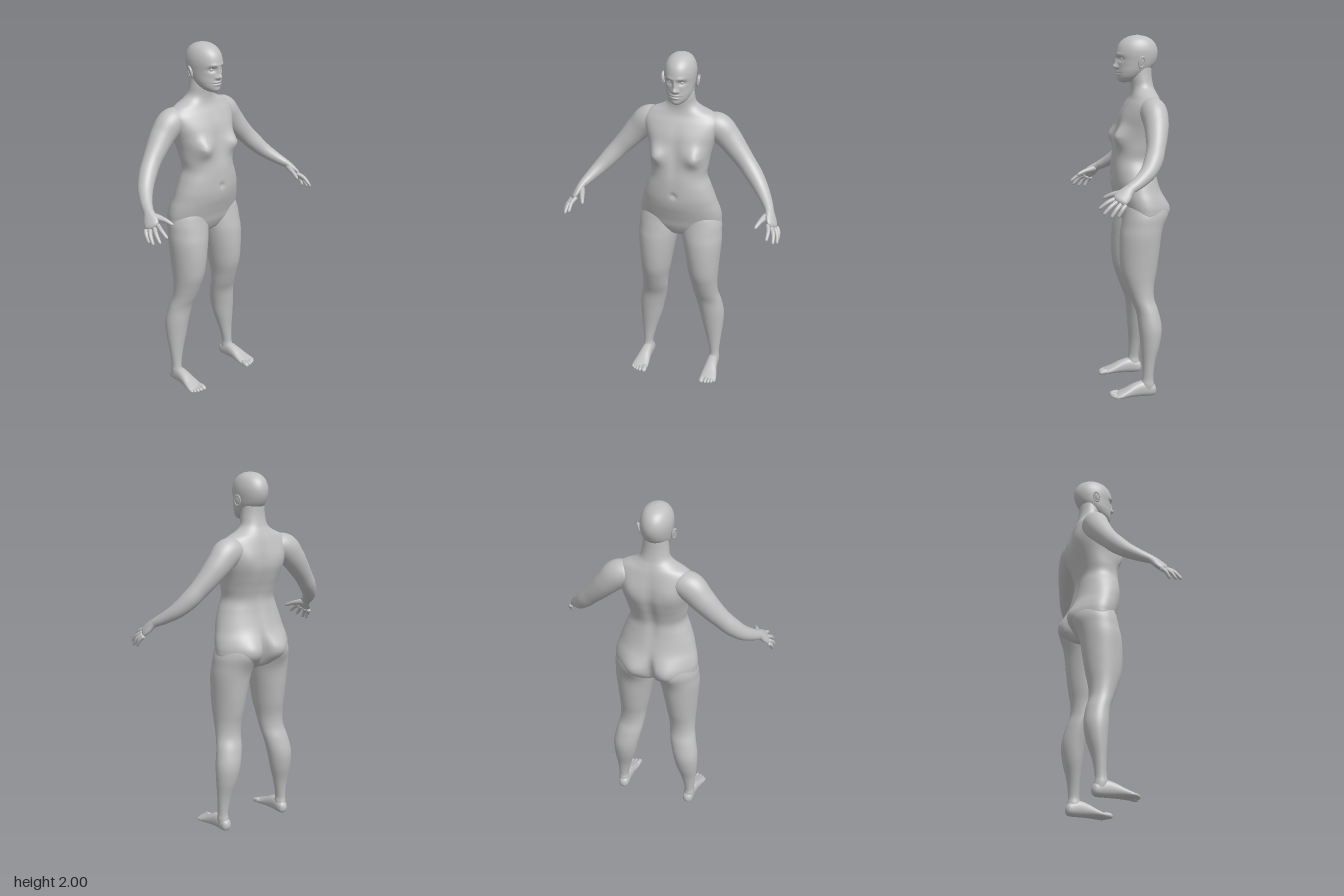
import * as THREE from 'three';

const V = (x, y, z) => new THREE.Vector3(x, y, z);
const UP = V(0, 1, 0), FRONT = V(0, 0, 1);
const bell = (d, s) => Math.exp(-((d / s) ** 2));
const clamp01 = (k) => Math.min(1, Math.max(0, k));

// Smooth closed skin over rings [x, y, z, halfWidth, halfDepth, roundness = 2].
// axis fixes the ring plane; without it rings follow the path. ref is the depth direction.
function loft(rings, { ref = FRONT, axis = null, n = 40, seg = 32, round = 0, deform = null }) {
  const path = new THREE.CatmullRomCurve3(rings.map((r) => V(r[0], r[1], r[2])), false, 'catmullrom', 0.5);
  const size = new THREE.CatmullRomCurve3(rings.map((r) => V(r[3], r[4], r[5] ?? 2)), false, 'catmullrom', 0.5);
  const pos = [], idx = [];
  const push = (p) => { if (deform) deform(p); pos.push(p.x, p.y, p.z); };
  const soft = (c, p) => Math.sign(c) * Math.abs(c) ** (2 / p);
  for (let i = 0; i <= n; i++) {
    const s = round ? (1 - Math.cos((Math.PI * i) / n)) / 2 : i / n;
    const c = path.getPoint(s), w = size.getPoint(s);
    const t = axis ?? path.getTangent(s);
    const u = ref.clone().cross(t).normalize(), v = t.clone().cross(u);
    const e = Math.min(s, 1 - s);
    const k = e < round ? Math.sqrt(1 - (1 - e / round) ** 2) : 1;
    for (let j = 0; j < seg; j++) {
      const a = (j / seg) * Math.PI * 2;
      push(c.clone()
        .addScaledVector(u, Math.max(w.x, 0.001) * k * soft(Math.cos(a), w.z))
        .addScaledVector(v, Math.max(w.y, 0.001) * k * soft(Math.sin(a), w.z)));
    }
  }
  for (let i = 0; i < n; i++) for (let j = 0; j < seg; j++) {
    const a = i * seg + j, b = i * seg + ((j + 1) % seg);
    idx.push(a, b, a + seg, b, b + seg, a + seg);
  }
  const end = (n + 1) * seg;
  push(path.getPoint(0)); push(path.getPoint(1));
  for (let j = 0; j < seg; j++) {
    const k = (j + 1) % seg;
    idx.push(end, k, j, end + 1, n * seg + j, n * seg + k);
  }
  const g = new THREE.BufferGeometry();
  g.setAttribute('position', new THREE.Float32BufferAttribute(pos, 3));
  g.setIndex(idx);
  g.computeVertexNormals();
  return g;
}

// [y, halfWidth, front z, back z, roundness] to a centred ring
const centred = ([y, w, f, b, p]) => [0, y, (f + b) / 2, w, (f - b) / 2, p];

// Soft body forms, shared by torso and thighs so they meet
function bodyForm(p) {
  const x = Math.abs(p.x), y = p.y;
  const f = clamp01((p.z + 0.03) / 0.06), b = clamp01((-0.07 - p.z) / 0.09);
  p.z += f * (0.045 * bell(x - 0.115, 0.055) * bell(y - 1.45, 0.055)   // chest
    + 0.006 * bell(x - 0.13, 0.012) * bell(y - 1.45, 0.012)
    - 0.012 * bell(x, 0.014) * bell(y - 1.225, 0.016)                  // navel
    - 0.008 * bell(x, 0.03) * bell(y - 1.45, 0.13));                   // breastbone
  p.z += b * (-0.042 * bell(x - 0.1, 0.08) * bell(y - 1.035, 0.08)     // seat
    + 0.035 * bell(x, 0.022) * bell(y - 1.02, 0.085)
    + 0.014 * bell(x, 0.03) * bell(y - 1.42, 0.2)                      // spine
    - 0.01 * bell(x - 0.11, 0.05) * bell(y - 1.55, 0.07));             // shoulder blades
}

// Facial forms
function faceForm(p) {
  const x = Math.abs(p.x), y = p.y, f = clamp01((p.z + 0.04) / 0.05);
  p.z += f * (0.022 * bell(x, 0.013) * bell(y - 1.829, 0.014)          // nose
    + 0.012 * bell(x, 0.01) * bell(y - 1.855, 0.024)
    + 0.008 * bell(x - 0.014, 0.008) * bell(y - 1.825, 0.008)
    - 0.013 * bell(x - 0.033, 0.02) * bell(y - 1.869, 0.014)           // eye sockets
    + 0.005 * bell(x - 0.03, 0.025) * bell(y - 1.893, 0.01)            // brow
    + 0.007 * bell(x, 0.024) * bell(y - 1.8, 0.006)                    // lips
    + 0.007 * bell(x, 0.02) * bell(y - 1.786, 0.006)
    - 0.004 * bell(x, 0.03) * bell(y - 1.793, 0.003)
    + 0.004 * bell(x, 0.02) * bell(y - 1.76, 0.012));                  // chin
}

export function createModel() {
  const model = new THREE.Group();
  model.name = 'figure';
  const skin = new THREE.MeshStandardMaterial({ color: 0xbfbfbf });
  skin.name = 'grey';
  const add = (parent, name, geo) => {
    const m = new THREE.Mesh(geo, skin);
    m.name = name;
    parent.add(m);
    return m;
  };

  // Torso and neck
  add(model, 'torso', loft([
    [0.925, 0.04, -0.04, -0.11], [0.95, 0.15, 0, -0.16], [1.0, 0.225, 0.028, -0.195],
    [1.05, 0.236, 0.042, -0.205], [1.1, 0.23, 0.058, -0.2], [1.15, 0.215, 0.073, -0.188],
    [1.2, 0.2, 0.08, -0.175, 2.1], [1.26, 0.178, 0.08, -0.162, 2.2], [1.32, 0.156, 0.077, -0.157, 2.2],
    [1.38, 0.162, 0.068, -0.172, 2.2], [1.44, 0.17, 0.058, -0.192, 2.3], [1.5, 0.184, 0.047, -0.207, 2.3],
    [1.56, 0.2, 0.032, -0.205, 2.3], [1.62, 0.212, 0.002, -0.193, 2.1], [1.66, 0.18, -0.022, -0.182],
    [1.69, 0.115, -0.03, -0.17], [1.72, 0.08, -0.03, -0.158], [1.77, 0.07, -0.025, -0.148],
    [1.83, 0.065, -0.03, -0.145],
  ].map(centred), { axis: UP, n: 130, seg: 96, deform: bodyForm }));

  // Head
  const head = new THREE.Group();
  head.name = 'head';
  model.add(head);
  add(head, 'skull', loft([
    [1.742, 0.014, 0.025, -0.015], [1.75, 0.033, 0.037, -0.05], [1.77, 0.055, 0.043, -0.085],
    [1.8, 0.07, 0.045, -0.125], [1.83, 0.077, 0.045, -0.155], [1.86, 0.081, 0.048, -0.172],
    [1.89, 0.084, 0.052, -0.18], [1.92, 0.083, 0.049, -0.179], [1.95, 0.075, 0.037, -0.168],
    [1.975, 0.06, 0.013, -0.146], [1.992, 0.036, -0.02, -0.112], [2.0, 0.004, -0.06, -0.07],
  ].map(centred), { axis: UP, n: 120, seg: 120, deform: faceForm }));

  for (const s of [1, -1]) {
    const side = s > 0 ? 'left' : 'right';
    const group = (name, parent = model) => {
      const g = new THREE.Group();
      g.name = side + name;
      parent.add(g);
      return g;
    };
    const mir = (rings) => rings.map(([x, ...r]) => [x * s, ...r]);

    // Eye and ear
    add(head, side + 'Eye', new THREE.SphereGeometry(0.012, 20, 14)).position.set(s * 0.032, 1.869, 0.021);
    const ear = group('Ear', head);
    ear.position.set(s * 0.09, 1.852, -0.072);
    ear.rotation.set(-0.15, s * 0.4, -s * 0.15);
    add(ear, 'earShell', new THREE.SphereGeometry(1, 20, 14)).scale.set(0.008, 0.031, 0.019);
    const rim = add(ear, 'earRim', new THREE.TorusGeometry(0.017, 0.004, 8, 28));
    rim.rotation.y = Math.PI / 2;
    rim.position.x = s * 0.005;
    rim.scale.set(1, 1.65, 1);

    // Arm, from inside the shoulder to the wrist
    const arm = group('Arm');
    add(arm, 'armSkin', loft(mir([
      [0.12, 1.6, -0.11, 0.06, 0.065], [0.195, 1.583, -0.118, 0.078, 0.073], [0.255, 1.525, -0.12, 0.07, 0.067],
      [0.312, 1.46, -0.11, 0.06, 0.058], [0.363, 1.403, -0.095, 0.052, 0.05], [0.41, 1.35, -0.073, 0.049, 0.049],
      [0.46, 1.295, -0.035, 0.041, 0.043], [0.505, 1.25, 0.022, 0.031, 0.034], [0.533, 1.222, 0.07, 0.023, 0.028],
      [0.545, 1.207, 0.09, 0.018, 0.024],
    ]), { n: 70, seg: 40, round: 0.04 }));

    // Hand
    const hand = group('Hand', arm);
    const palmUp = V(s * 0.76, 0.63, 0.1).normalize();
    add(hand, 'palm', loft(mir([
      [0.525, 1.232, 0.055, 0.026, 0.022], [0.54, 1.212, 0.085, 0.031, 0.021],
      [0.554, 1.187, 0.112, 0.041, 0.018], [0.57, 1.158, 0.142, 0.039, 0.013],
    ]), { ref: palmUp, n: 26, seg: 28, round: 0.15 }));
    const fingers = {
      index: [0.542, 1.176, 0.148, 0.555, 1.125, 0.24],
      middle: [0.56, 1.162, 0.145, 0.588, 1.1, 0.222],
      ring: [0.575, 1.152, 0.128, 0.604, 1.086, 0.186],
      little: [0.583, 1.147, 0.105, 0.601, 1.085, 0.15],
    };
    for (const [name, [x, y, z, X, Y, Z]] of Object.entries(fingers)) {
      const bow = 0.007;
      add(hand, name + 'Finger', loft(mir([
        [x, y, z, 0.0125, 0.0125],
        [(x + X) / 2 + bow, (y + Y) / 2 + bow, (z + Z) / 2, 0.011, 0.011],
        [X, Y, Z, 0.0085, 0.008],
      ]), { ref: palmUp, n: 20, seg: 14, round: 0.12 }));
    }
    add(hand, 'thumb', loft(mir([
      [0.535, 1.208, 0.085, 0.018, 0.018], [0.515, 1.197, 0.13, 0.017, 0.015],
      [0.5, 1.188, 0.168, 0.012, 0.012], [0.485, 1.17, 0.207, 0.009, 0.008],
    ]), { ref: palmUp, n: 22, seg: 16, round: 0.12 }));

    // Leg, from ankle up into the hip
    const leg = group('Leg');
    add(leg, 'legSkin', loft(mir([
      [0.209, 0.03, -0.09, 0.03, 0.042], [0.211, 0.07, -0.087, 0.031, 0.037], [0.211, 0.11, -0.089, 0.029, 0.031],
      [0.204, 0.2, -0.095, 0.043, 0.037], [0.194, 0.3, -0.105, 0.063, 0.055], [0.185, 0.39, -0.106, 0.074, 0.065],
      [0.168, 0.48, -0.092, 0.076, 0.063], [0.155, 0.55, -0.068, 0.074, 0.066], [0.149, 0.62, -0.055, 0.077, 0.079],
      [0.143, 0.7, -0.05, 0.087, 0.099], [0.138, 0.8, -0.053, 0.099, 0.111], [0.132, 0.9, -0.06, 0.112, 0.115],
      [0.125, 0.96, -0.068, 0.117, 0.113], [0.121, 1.02, -0.075, 0.116, 0.108], [0.112, 1.08, -0.075, 0.1, 0.095],
      [0.1, 1.13, -0.07, 0.06, 0.06],
    ]), { axis: UP, n: 100, seg: 56, deform: bodyForm }));

    // Foot and toes
    const foot = group('Foot', leg);
    add(foot, 'footSkin', loft(mir([
      [0.208, 0.034, -0.138, 0.024, 0.028, 2.2], [0.208, 0.038, -0.105, 0.031, 0.037, 2.3],
      [0.209, 0.045, -0.06, 0.033, 0.044, 2.3], [0.211, 0.039, -0.01, 0.037, 0.037, 2.3],
      [0.214, 0.026, 0.04, 0.045, 0.024, 2.3], [0.216, 0.018, 0.075, 0.049, 0.016, 2.3],
      [0.216, 0.014, 0.096, 0.045, 0.011, 2.3],
    ]), { axis: FRONT, ref: UP, n: 44, seg: 40, round: 0.1 }));
    const toes = [[0.182, 0.126, 0.016], [0.206, 0.125, 0.011], [0.225, 0.12, 0.0105], [0.242, 0.112, 0.01], [0.256, 0.1, 0.0095]];
    toes.forEach(([x, z, r], i) => add(foot, 'toe' + (i + 1), loft(mir([
      [0.214 + (x - 0.214) * 0.9, 0.02, z - 0.055, r, r],
      [x, 0.018, z - 0.028, r * 0.95, r * 0.95],
      [x, 0.013, z, r * 0.95, r * 0.85],
    ]), { axis: FRONT, ref: UP, n: 18, seg: 16, round: 0.25 })));
  }
  return model;
}
